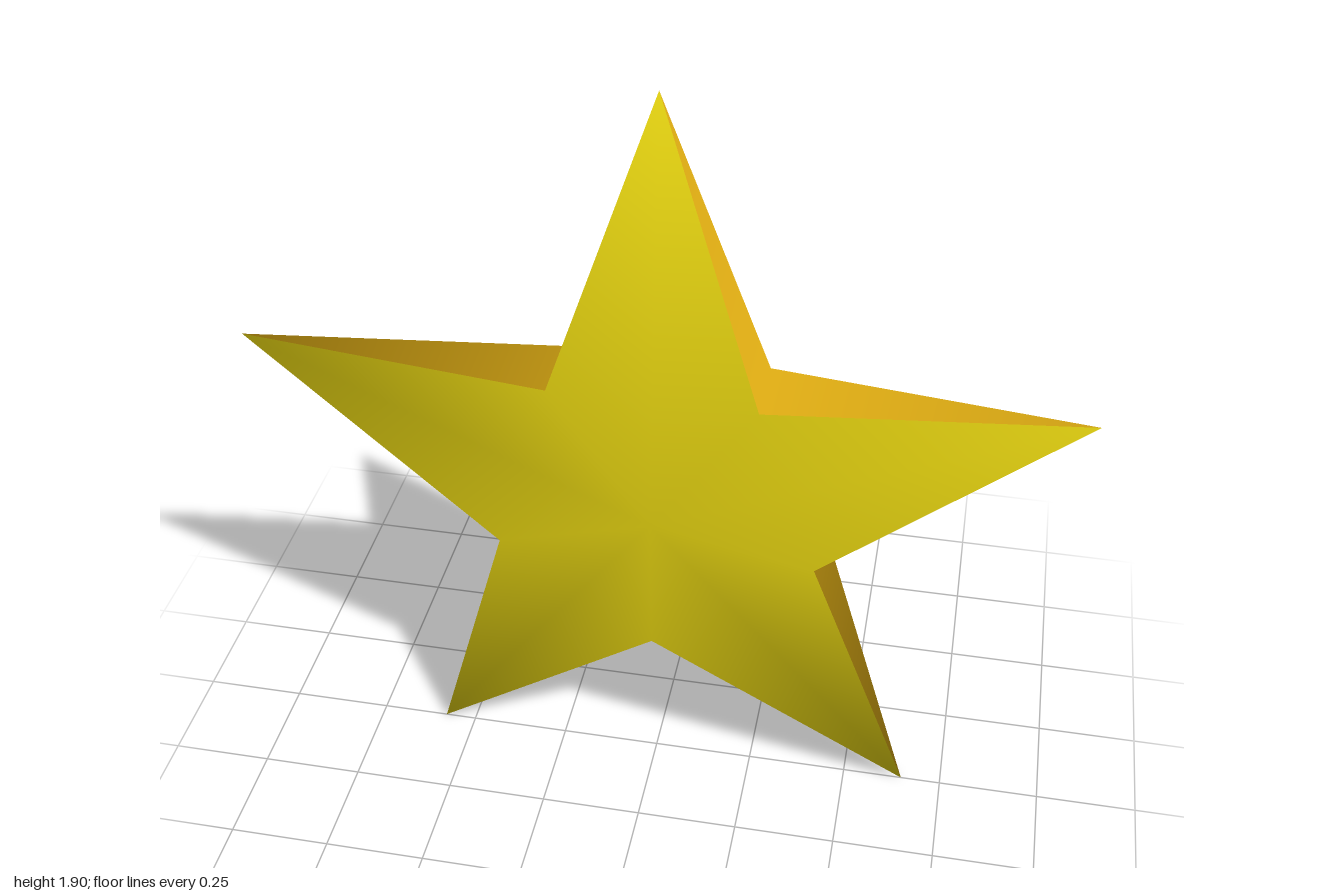
import * as THREE from 'three';

// Outline, counter-clockwise from the top: tips (even) alternate with notches (odd)
const OUTLINE = [
  [0.005, 1.9], [-0.24, 1.18], [-1, 1.18], [-0.37, 0.72], [-0.58, 0],
  [0.005, 0.455], [0.65, 0], [0.395, 0.745], [1, 1.18], [0.25, 1.18],
];
const CENTRE = [0.01, 0.86];
const CENTRE_DEPTH = 0.14;
const NOTCH_DEPTH = 0.093;

function indexedMesh(name, positions, indices, material) {
  const geometry = new THREE.BufferGeometry();
  geometry.setAttribute('position', new THREE.Float32BufferAttribute(positions, 3));
  geometry.setIndex(indices);
  geometry.computeVertexNormals();
  const mesh = new THREE.Mesh(geometry, material);
  mesh.name = name;
  return mesh;
}

export function createModel() {
  const yellow = new THREE.MeshStandardMaterial({ name: 'yellow', color: 0xe3d110 });
  const amber = new THREE.MeshStandardMaterial({ name: 'amber', color: 0xdcaa12 });

  // Shared points: tips lie on the middle plane, notches have a front and a back point
  const positions = [];
  const add = (p, z) => positions.push(p[0], p[1], z) / 3 - 1;
  const front = [];
  const back = [];
  OUTLINE.forEach((p, i) => {
    const isTip = i % 2 === 0;
    front[i] = add(p, isTip ? 0 : NOTCH_DEPTH);
    back[i] = isTip ? front[i] : add(p, -NOTCH_DEPTH);
  });
  const centreFront = add(CENTRE, CENTRE_DEPTH);
  const centreBack = add(CENTRE, -CENTRE_DEPTH);

  const faces = [];
  const walls = [];
  for (let i = 0; i < OUTLINE.length; i++) {
    const j = (i + 1) % OUTLINE.length;
    // Domed faces fan out from the centres
    faces.push(centreFront, front[i], front[j], centreBack, back[j], back[i]);
    // Side walls taper from a notch to a tip
    if (i % 2 === 0) walls.push(front[i], back[j], front[j]);
    else walls.push(front[j], front[i], back[i]);
  }

  const star = new THREE.Group();
  star.name = 'star';
  star.add(indexedMesh('starFaces', positions, faces, yellow));
  star.add(indexedMesh('starSides', positions, walls, amber));
  return star;
}
